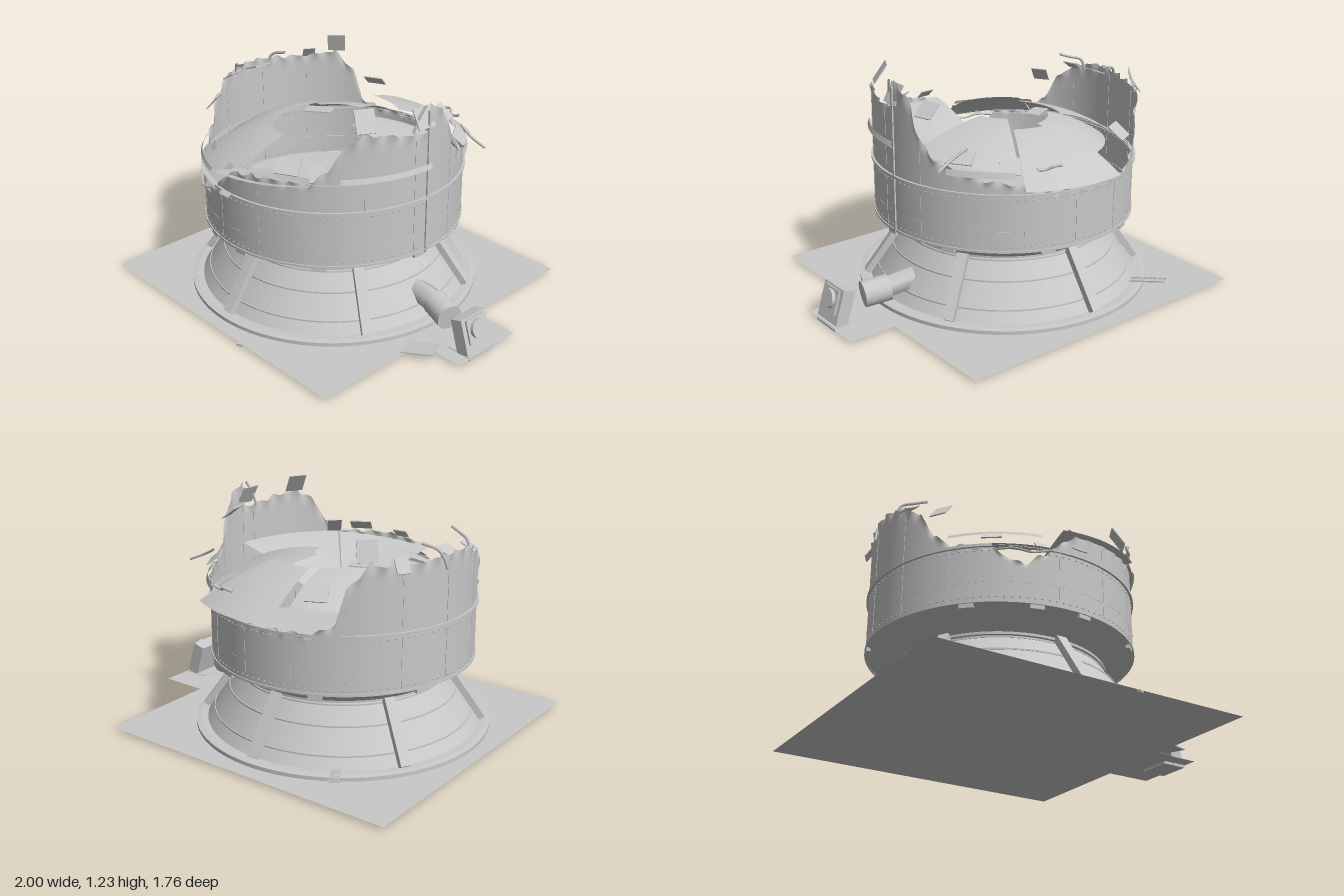
import * as THREE from 'three';
import { mergeGeometries } from 'three/addons/utils/BufferGeometryUtils.js';

const CX = -0.13, CZ = -0.007, D = Math.PI / 180;
const steel = new THREE.MeshStandardMaterial({ color: 0xc8c8c8, side: THREE.DoubleSide });
steel.name = 'grey steel';

// Torn top of the wall: [angle in degrees from the front towards +x, height]
const TEAR = [[-180, 0.73], [-156, 0.73], [-147, 0.78], [-143, 0.95], [-134, 1.07], [-120, 1.05], [-108, 1.06], [-90, 1.08],
  [-76, 1.05], [-66, 0.96], [-60, 0.83], [-52, 0.74], [-35, 0.72], [-28, 0.65], [-22, 0.63], [-13, 0.7], [-4, 0.8],
  [3, 0.86], [16, 0.88], [38, 0.88], [45, 0.95], [52, 1.08], [58, 1.12], [66, 1.12], [82, 1.08], [89, 1.09],
  [90, 1.22], [98, 1.17], [102, 1.07], [106, 0.95], [112, 0.87], [122, 0.84], [132, 0.8], [145, 0.78], [158, 0.73], [180, 0.73]];

function tearHeight(deg) {
  const i = Math.max(1, TEAR.findIndex(p => p[0] >= deg));
  const [a, h] = TEAR[i - 1], [b, k] = TEAR[i];
  return h + (k - h) * (deg - a) / (b - a);
}

export function createModel() {
  const model = new THREE.Group();
  const tank = new THREE.Group();
  tank.name = 'tank';
  tank.position.set(CX, 0, CZ);
  model.add(tank);

  function add(name, geo, parent = model) {
    const m = new THREE.Mesh(geo, steel);
    m.name = name;
    parent.add(m);
    return m;
  }
  function box(name, size, pos, rot = [0, 0, 0], parent = model) {
    const m = add(name, new THREE.BoxGeometry(...size), parent);
    m.position.set(...pos);
    m.rotation.set(...rot);
    return m;
  }
  // Revolve one straight piece at a time so that corners stay sharp
  function turned(name, pts) {
    const parts = pts.slice(1).map((p, i) =>
      new THREE.LatheGeometry([new THREE.Vector2(...pts[i]), new THREE.Vector2(...p)], 96));
    return add(name, mergeGeometries(parts), tank);
  }
  function hoop(name, r, y, h = 0.012, out = 0.008) {
    turned(name, [[r, y - h / 2], [r + out, y - h / 2], [r + out, y + h / 2], [r, y + h / 2]]);
  }
  function wire(name, pts, r = 0.006, parent = model) {
    const curve = new THREE.CatmullRomCurve3(pts.map(p => new THREE.Vector3(...p)));
    return add(name, new THREE.TubeGeometry(curve, 16, r, 6), parent);
  }

  // Ground sheet with its side pad
  const ground = (name, w, d, x, z) =>
    add(name, new THREE.PlaneGeometry(w, d).rotateX(-Math.PI / 2)).position.set(x, 0.016, z);
  ground('groundSheet', 1.74, 1.745, -0.13, -0.015);
  ground('sidePad', 0.26, 0.42, 0.87, -0.01);

  // Foot ring, conical base, flared drum bottom, drum floor
  turned('footRing', [[0.797, 0.018], [0.797, 0.038], [0.77, 0.042], [0.735, 0.042]]);
  turned('conicalBase', [[0.735, 0.04], [0.53, 0.335]]);
  turned('drumBottom', [[0.53, 0.335], [0.56, 0.337], [0.695, 0.42], [0.7, 0.425]]);
  turned('drumFloor', [[0.698, 0.425], [0.001, 0.425]]);
  for (const y of [0.1, 0.22, 0.31]) hoop('baseHoop', 0.735 - (y - 0.04) * 0.695, y, 0.008, 0.005);
  hoop('neckRing', 0.53, 0.33, 0.014, 0.025);

  // Sloping struts round the base
  for (let i = 0; i < 6; i++) {
    const g = new THREE.Group();
    g.name = 'strut';
    g.rotation.y = i * 60 * D;
    tank.add(g);
    box('strutBeam', [0.055, 0.355, 0.035], [0, 0.193, 0.655], [-0.607, 0, 0], g);
  }

  // Drum wall with torn and crumpled upper edge
  const wall = new THREE.CylinderGeometry(0.7, 0.7, 1, 360, 24, true);
  const p = wall.attributes.position;
  for (let i = 0; i < p.count; i++) {
    const t = p.getY(i) + 0.5;
    const a = Math.atan2(p.getX(i), p.getZ(i));
    const n = Math.sin(a * 37) * 0.6 + Math.sin(a * 61 + 1) * 0.4;
    const top = tearHeight(a / D) + n * 0.01;
    const y = 0.42 + t * (top - 0.42);
    const r = 0.7 + Math.pow(t, 30) * 0.01 * Math.sin(a * 45 + 2);
    p.setXYZ(i, Math.sin(a) * r, y, Math.cos(a) * r);
  }
  wall.computeVertexNormals();
  add('drumWall', wall, tank);
  hoop('drumLowerHoop', 0.698, 0.425, 0.012, 0.008);
  hoop('drumMiddleSeam', 0.698, 0.53, 0.004, 0.003);

  // Upper hoop, left open where the wall is gashed
  const hoopArc = (name, y, r, h, from, to) => {
    const s = new THREE.CylinderGeometry(r, r, h, 120, 1, true, from * D, (to - from) * D);
    const lid = new THREE.RingGeometry(r - 0.02, r, 120, 1, (from - 90) * D, (to - from) * D);
    lid.rotateX(Math.PI / 2);
    const under = lid.clone().translate(0, -h / 2, 0);
    lid.translate(0, h / 2, 0);
    add(name, mergeGeometries([s, lid, under]), tank).position.y = y;
  };
  hoopArc('drumUpperHoop', 0.722, 0.712, 0.014, -11, 325);

  // Rivet rows and upright seams
  const rivets = [];
  for (let i = 0; i < 120; i++) {
    const a = i * 3 * D;
    for (const y of [0.45, 0.698]) {
      if (y > tearHeight(((i * 3 + 180) % 360) - 180) - 0.01) continue;
      rivets.push(new THREE.SphereGeometry(0.005, 6, 4).translate(Math.sin(a) * 0.7, y, Math.cos(a) * 0.7));
    }
  }
  add('rivets', mergeGeometries(rivets), tank);
  for (let d = -165; d < 180; d += 22.5) {
    const h = tearHeight(d) - 0.46;
    box('wallSeam', [0.006, h, 0.004], [Math.sin(d * D) * 0.7, 0.43 + h / 2, Math.cos(d * D) * 0.7], [0, d * D, 0], tank);
  }
  box('wallPost', [0.014, 0.78, 0.01], [0.703, 0.8, 0.01], [0, Math.PI / 2, 0], tank);
  for (const d of [-45, -17, 4, 41, 86, 118, 160, 205, 250])
    box('lowerTab', [0.07, 0.024, 0.02], [Math.sin(d * D) * 0.69, 0.409, Math.cos(d * D) * 0.69], [0, d * D, 0], tank);

  // Collapsed roof: [from angle, to angle, inner radius, outer radius, inner height, outer heights at both sides]
  const roof = [[149, 189, 0.365, 0.785, 0.95, 0.77, 0.77], [90, 149, 0.15, 0.57, 0.94, 0.83, 0.79],
    [39, 90, 0.26, 0.715, 0.7, 0.88, 0.88], [-7, 38, 0.29, 0.735, 0.7, 0.83, 0.88], [-52, -7, 0.32, 0.71, 0.92, 0.73, 0.71],
    [-116, -54, 0.32, 0.61, 0.9, 0.78, 0.77], [-172, -116, 0.24, 0.55, 0.92, 0.8, 0.78]];
  for (const [a0, a1, r0, r1, y0, yA, yB] of roof) {
    const g = new THREE.PlaneGeometry(1, 1, 20, 8);
    const q = g.attributes.position;
    for (let i = 0; i < q.count; i++) {
      const u = q.getX(i) + 0.5, t = 0.5 - q.getY(i);
      const a = (a0 + u * (a1 - a0)) * D, r = r0 + t * (r1 - r0);
      q.setXYZ(i, Math.sin(a) * r, y0 + t * (yA + u * (yB - yA) - y0) + 0.08 * t * (1 - t), Math.cos(a) * r);
    }
    g.computeVertexNormals();
    add('roofPanel', g, tank);
  }
  // Broken tongue on the left-hand roof panel
  box('roofTongue', [0.16, 0.006, 0.08], [-0.31, 0.915, -0.07], [0, 0.5, 0.05]);

  // Torn sheets along the rim: x, y, z, width, height, tilt
  const sheets = [[-0.41, 0.92, -0.6, 0.11, 0.1, 0.9], [-0.61, 1.13, -0.48, 0.1, 0.11, 0.35], [-0.74, 1.06, -0.38, 0.07, 0.08, 0.6],
    [-0.77, 1.06, -0.02, 0.1, 0.1, 1.2], [-0.78, 1.05, 0.16, 0.08, 0.08, 1], [0.27, 0.86, -0.55, 0.1, 0.09, 0.9],
    [0.44, 0.9, -0.38, 0.14, 0.08, 0.9], [0.49, 1.1, -0.18, 0.1, 0.1, 0.9], [0.55, 1.15, 0.02, 0.11, 0.11, 0.5],
    [0.44, 1.18, 0.31, 0.1, 0.12, 0.6], [0.3, 0.92, 0.49, 0.08, 0.1, 0.7], [0.16, 0.93, 0.56, 0.12, 0.09, 0.9],
    [-0.07, 0.9, 0.63, 0.08, 0.06, 0.8], [-0.27, 0.77, 0.61, 0.06, 0.1, 0.7], [-0.7, 0.97, 0.35, 0.09, 0.1, 0.7],
    [-0.5, 0.81, 0.51, 0.1, 0.04, 0.8], [-0.13, 0.74, 0.73, 0.07, 0.03, 0.9]];
  for (const [x, y, z, w, h, tilt] of sheets) {
    const m = box('tornSheet', [w, h, 0.006], [x, y, z]);
    m.rotation.set(-tilt, Math.atan2(x - CX, z - CZ), 0, 'YXZ');
  }

  // Bent strips peeling from the wall
  const strip = (name, from, to, y, r, h) =>
    add(name, new THREE.CylinderGeometry(r, r + 0.01, h, 24, 1, true, from * D, (to - from) * D), tank).position.y = y;
  strip('peeledStrip', 50, 90, 0.9, 0.715, 0.025);
  strip('peeledStrip', -53, -15, 0.79, 0.7, 0.02);
  strip('peeledStrip', 118, 146, 0.83, 0.71, 0.03);

  // Twisted bars on the rim
  wire('bentBar', [[-0.52, 0.7, 0.58], [-0.45, 0.7, 0.64], [-0.38, 0.68, 0.68], [-0.28, 0.71, 0.7]]);
  wire('bentBar', [[-0.82, 1.03, 0.1], [-0.8, 1.09, 0.11], [-0.74, 1.11, 0.14], [-0.68, 1.13, 0.16]], 0.008);
  wire('bentBar', [[-0.83, 1.0, -0.12], [-0.8, 1.09, -0.15], [-0.71, 1.12, -0.17]], 0.008);
  wire('bentBar', [[0.42, 0.95, -0.41], [0.5, 0.91, -0.4], [0.59, 0.87, -0.41]], 0.007);
  wire('bentBar', [[0.54, 1.08, 0.08], [0.55, 1.15, 0.06], [0.57, 1.22, 0.03]], 0.007);
  wire('bentBar', [[0.05, 0.86, -0.68], [0.1, 0.87, -0.69], [0.14, 0.85, -0.66], [0.19, 0.86, -0.66]], 0.008);

  // Outlet pipe with its broken wide end
  wire('outletPipe', [[0.42, 0.14, -0.02], [0.55, 0.14, -0.02], [0.63, 0.13, -0.01], [0.7, 0.12, 0.01]], 0.062);
  const end = add('pipeEnd', new THREE.CylinderGeometry(0.07, 0.07, 0.14, 32));
  end.position.set(0.705, 0.12, 0.005);
  end.rotation.set(0, -0.28, Math.PI / 2 - 0.12, 'YXZ');

  // Leaning control box with a round knob
  const control = new THREE.Group();
  control.name = 'controlBox';
  control.position.set(0.925, 0.108, 0.033);
  control.rotation.z = 0.3;
  model.add(control);
  box('controlBody', [0.07, 0.19, 0.18], [0, 0, 0], [0, 0, 0], control);
  box('controlFace', [0.012, 0.13, 0.13], [0.04, 0.02, 0], [0, 0, 0], control);
  const knob = add('controlKnob', new THREE.CylinderGeometry(0.05, 0.05, 0.03, 32), control);
  knob.rotation.z = Math.PI / 2;
  knob.position.set(0.05, 0.025, 0);
  box('controlPlinth', [0.14, 0.018, 0.18], [0.925, 0.01, 0.03]);

  // Fallen sheet and fragment on the ground
  box('fallenSheet', [0.17, 0.006, 0.11], [0.78, 0.035, 0.25], [0, 0.45, 0.12]);
  box('fragment', [0.03, 0.012, 0.015], [0.1, 0.008, 0.86], [0, 0.4, 0]);

  // Ladder lying against the foot ring
  const ladder = new THREE.Group();
  ladder.name = 'ladder';
  ladder.position.set(-0.585, 0.06, -0.69);
  ladder.rotation.set(0.12, 0.58, 0, 'YXZ');
  model.add(ladder);
  for (const s of [-1, 1]) box('ladderRail', [0.006, 0.008, 0.2], [s * 0.022, 0, 0], [0, 0, 0], ladder);
  for (let i = -3; i <= 3; i++) box('ladderRung', [0.044, 0.005, 0.005], [0, 0, i * 0.028], [0, 0, 0], ladder);

  return model;
}
